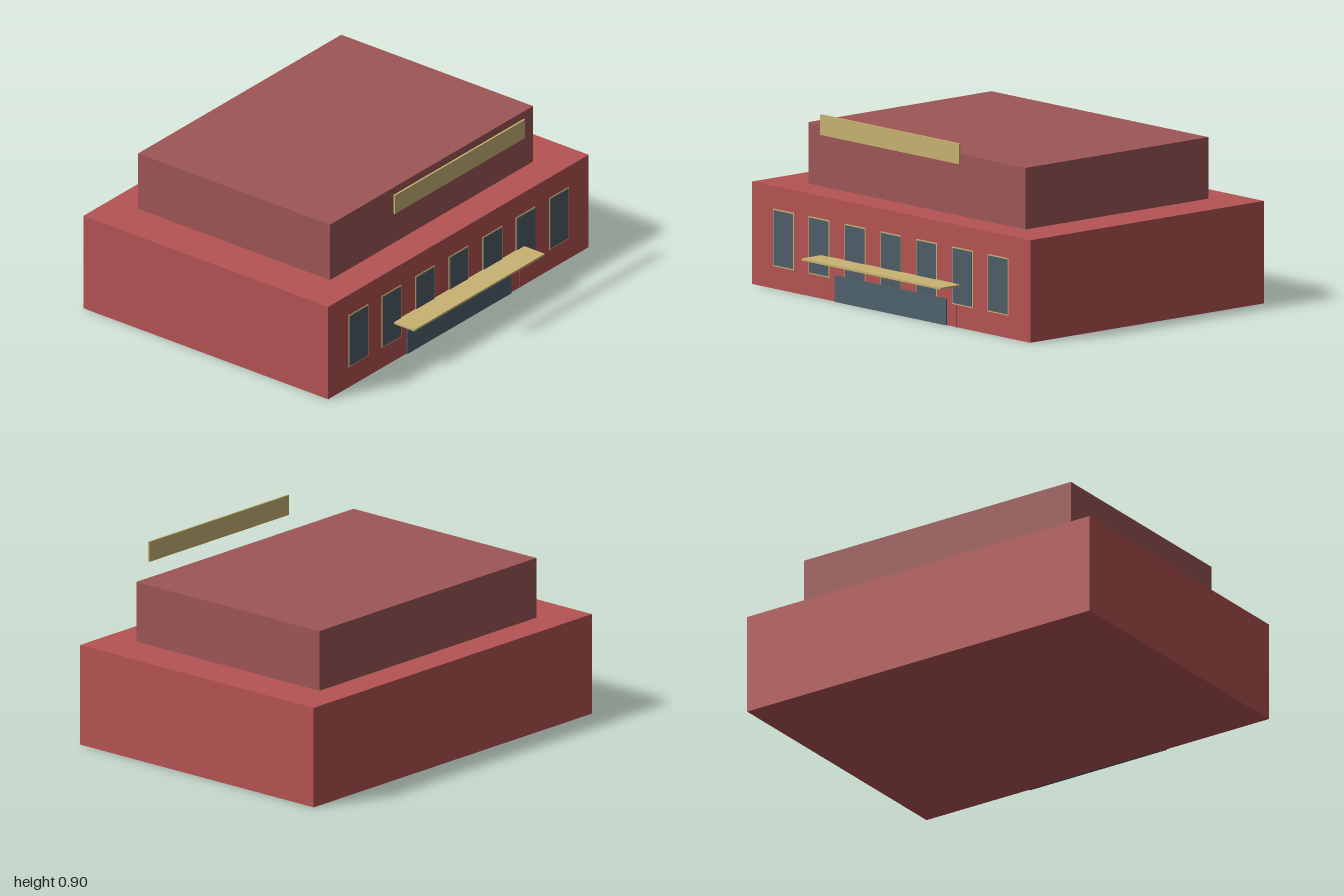
import * as THREE from 'three';

const material = (color) => new THREE.MeshStandardMaterial({ color });

export function createModel() {
  const model = new THREE.Group();
  const brick = material(0xb55353);
  const darkBrick = material(0x9e5656);
  const gold = material(0xc8b272);
  const glass = material(0x4e5c68);
  const doorGlass = material(0x4f626d);
  const frontZ = 0.685;

  // Box given by its lower and upper corners
  const block = (name, mat, [x0, y0, z0], [x1, y1, z1], parent = model) => {
    const mesh = new THREE.Mesh(new THREE.BoxGeometry(x1 - x0, y1 - y0, z1 - z0), mat);
    mesh.position.set((x0 + x1) / 2, (y0 + y1) / 2, (z0 + z1) / 2);
    mesh.name = name;
    parent.add(mesh);
  };

  // Main hall and set-back upper storey
  block('mainHall', brick, [-1, 0, -0.815], [1, 0.5, frontZ]);
  block('upperStorey', darkBrick, [-0.78, 0.5, -0.655], [0.78, 0.8, 0.52]);

  // Entrance: glazed doors, slim jambs and canopy
  block('entranceDoors', doorGlass, [-0.4, 0, 0.68], [0.4, 0.13, 0.692]);
  for (const side of [-1, 1]) {
    const x = side * 0.47;
    block('entranceJamb', darkBrick, [x - 0.003, 0, 0.68], [x + 0.003, 0.2, 0.687]);
  }
  block('canopy', gold, [-0.5, 0.203, frontZ], [0.5, 0.213, 0.815]);

  // Blank sign board above the front wall
  block('signBoard', gold, [-0.5, 0.8, 0.685], [0.5, 0.9, 0.695]);

  // Row of seven framed windows
  for (const x of [-0.77, -0.515, -0.258, 0, 0.258, 0.515, 0.77]) {
    const unit = new THREE.Group();
    unit.name = 'window';
    block('windowFrame', gold, [x - 0.075, 0.11, 0.68], [x + 0.075, 0.39, 0.688], unit);
    block('windowPane', glass, [x - 0.069, 0.116, 0.682], [x + 0.069, 0.384, 0.69], unit);
    model.add(unit);
  }

  return model;
}
